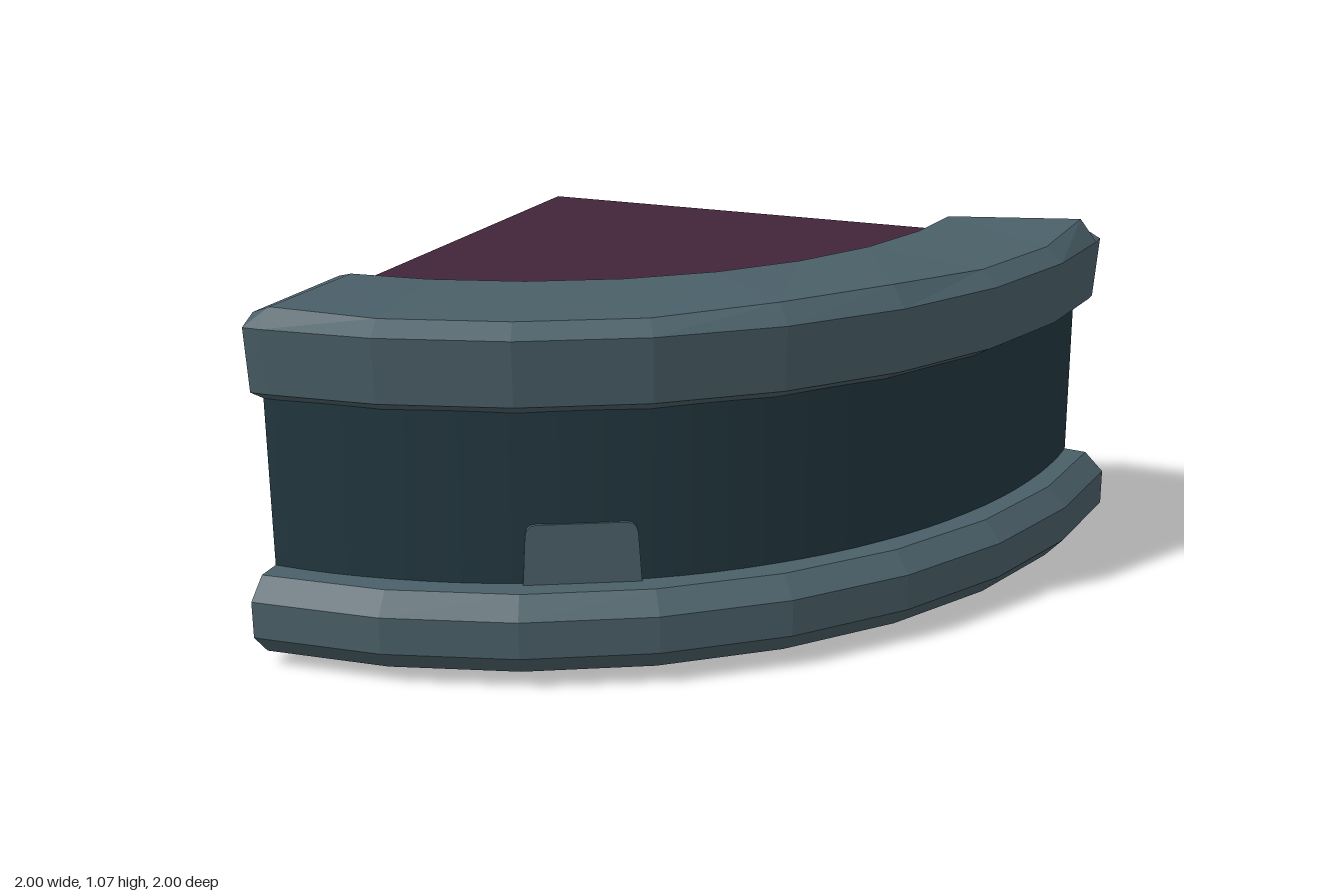
import * as THREE from 'three';

const QUARTER = Math.PI / 2;
const BODY_R = 1.87, FLOOR_Y = 0.985, UNDER_Y = 0.05;

// Profiles as [radius, height], running from the outside over to the inside
const lowerProfile = [[0.93, 0.05], [0.99, 0], [1.94, 0.035], [2, 0.1], [2, 0.21], [1.94, 0.27], [1.85, 0.275]];
const upperProfile = (top) => [[1.85, 0.765], [1.93, 0.81], [1.945, Math.min(1, top - 0.03)],
  [1.89, top], [1.45, Math.min(top, 1.04)], [1.41, FLOOR_Y]];

// Facetted sweep around the corner axis; each station is { angle in degrees, profile }
function sweep(stations) {
  const pos = [];
  const point = (i, j) => {
    const a = THREE.MathUtils.degToRad(stations[i].angle);
    const [r, y] = stations[i].profile[j];
    return [r * Math.cos(a), y, r * Math.sin(a)];
  };
  for (let i = 0; i < stations.length - 1; i++) {
    for (let j = 0; j < stations[i].profile.length - 1; j++) {
      const a = point(i, j), b = point(i, j + 1), c = point(i + 1, j), d = point(i + 1, j + 1);
      pos.push(...a, ...b, ...c, ...b, ...d, ...c);
    }
  }
  const g = new THREE.BufferGeometry();
  g.setAttribute('position', new THREE.Float32BufferAttribute(pos, 3));
  g.computeVertexNormals();
  return g;
}

export function createModel() {
  const material = (name, color) => {
    const m = new THREE.MeshStandardMaterial({ color });
    m.name = name;
    return m;
  };
  const wallMat = material('dark teal', 0x22373f);
  const trimMat = material('grey teal', 0x4a5f68);
  const floorMat = material('plum', 0x422439);

  const model = new THREE.Group();
  model.name = 'quarterRoundPlatform';
  const add = (name, geometry, mat) => {
    const mesh = new THREE.Mesh(geometry, mat);
    mesh.name = name;
    mesh.position.set(-1, 0, -1); // the arc is centred on the back corner
    model.add(mesh);
    return mesh;
  };

  // Curved wall
  add('curvedWall', new THREE.CylinderGeometry(BODY_R, BODY_R, 0.7, 32, 1, true, 0, QUARTER)
    .translate(0, 0.52, 0), wallMat);

  // Floor and recessed underside
  add('floor', new THREE.CircleGeometry(1.42, 8, -QUARTER, QUARTER)
    .rotateX(-QUARTER).translate(0, FLOOR_Y, 0), floorMat);
  add('underside', new THREE.CircleGeometry(1, 8, 0, QUARTER)
    .rotateX(QUARTER).translate(0, UNDER_Y, 0), wallMat);

  // Base trim
  const lower = [];
  for (let i = 0; i <= 8; i++) lower.push({ angle: i * 11.25, profile: lowerProfile });
  add('baseTrim', sweep(lower), trimMat);

  // Worn rim with uneven height and chamfered ends: [angle, top height]
  const rimHeights = [[0, 1.03], [1.6, 1.07], [11.25, 1.045], [22.5, 1.045], [33.75, 1.06], [45, 1.055],
    [56.25, 1.04], [67.5, 1.04], [78.75, 1.04], [88.4, 1.05], [90, 1.03]];
  add('topRim', sweep(rimHeights.map(([angle, top]) => ({ angle, profile: upperProfile(top) }))), trimMat);

  // Flat cut faces on the two straight sides
  const outline = [[0, UNDER_Y], ...lowerProfile.slice(0, 6), [BODY_R, 0.275],
    [BODY_R, 0.765], ...upperProfile(1.03).slice(1), [0, FLOOR_Y]];
  const cutFace = (sign) => new THREE.ShapeGeometry(
    new THREE.Shape(outline.map(([r, y]) => new THREE.Vector2(sign * r, y))));
  add('backFace', cutFace(-1).rotateY(Math.PI), wallMat);
  add('sideFace', cutFace(1).rotateY(-QUARTER), wallMat);

  // Small plate on the wall with rounded upper corners
  const plate = new THREE.Shape();
  plate.moveTo(-0.168, 0.26);
  plate.lineTo(0.168, 0.26);
  plate.lineTo(0.158, 0.42);
  plate.quadraticCurveTo(0.156, 0.452, 0.125, 0.452);
  plate.lineTo(-0.125, 0.452);
  plate.quadraticCurveTo(-0.156, 0.452, -0.158, 0.42);
  plate.closePath();
  add('wallPlate', new THREE.ExtrudeGeometry(plate, { depth: 0.016, bevelEnabled: false, curveSegments: 3 })
    .translate(0, 0, 1.86).rotateY(THREE.MathUtils.degToRad(27.8)), trimMat);

  return model;
}
